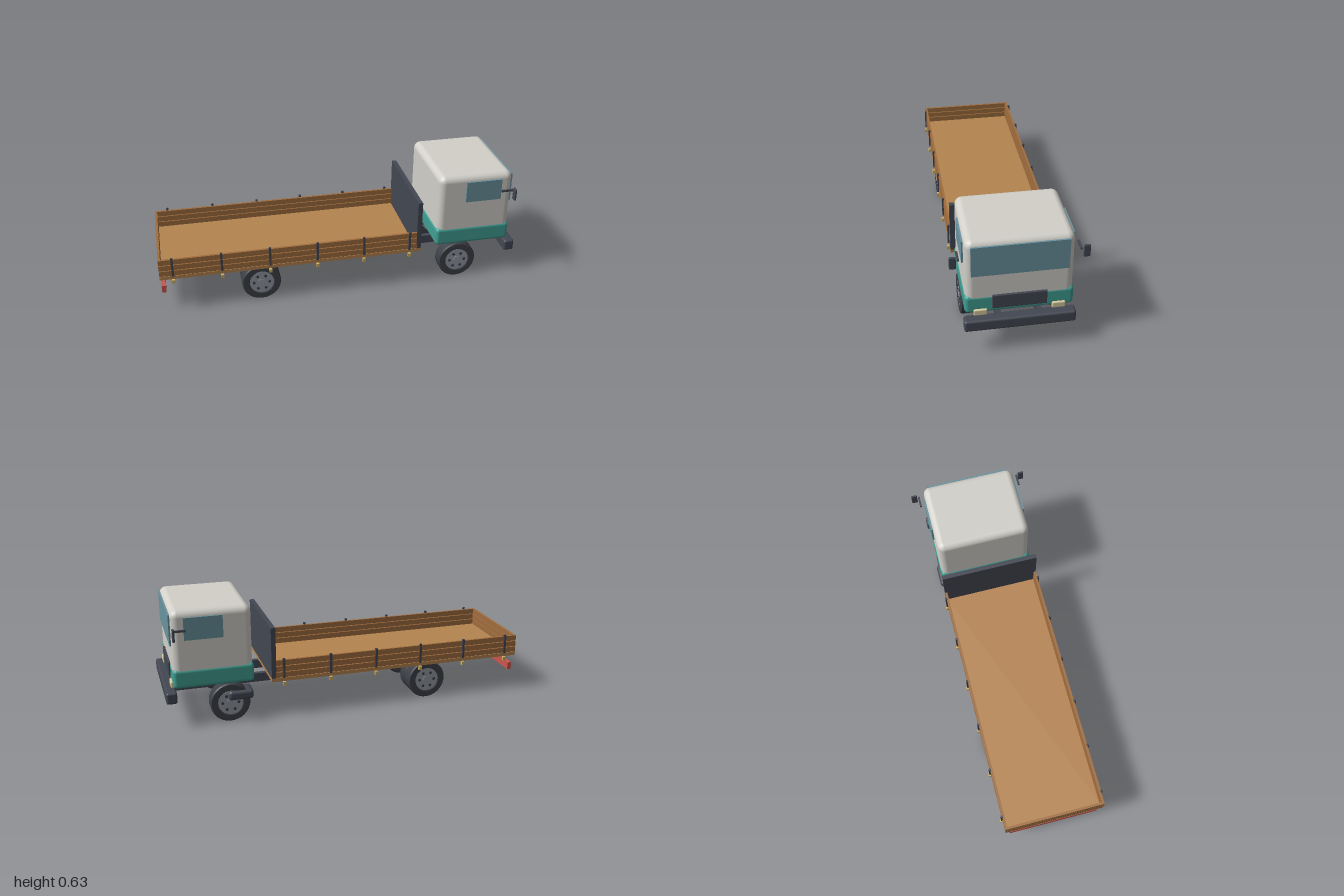
import * as THREE from 'three';
import { RoundedBoxGeometry } from 'three/addons/geometries/RoundedBoxGeometry.js';

const paint = (name, color) => {
  const m = new THREE.MeshStandardMaterial({ color });
  m.name = name;
  return m;
};

export function createModel() {
  const truck = new THREE.Group();
  truck.name = 'flatbedTruck';

  const dark = paint('darkSteel', 0x434752);
  const rubber = paint('rubber', 0x3d4048);
  const rim = paint('rimGrey', 0x929aa4);
  const floorWood = paint('floorWood', 0xb58450);
  const boardWood = paint('boardWood', 0xa06d3e);
  const cream = paint('cabOffWhite', 0xd2d0c9);
  const teal = paint('cabTeal', 0x419f93);
  const glass = paint('glass', 0x6b939f);
  const red = paint('red', 0xcc554e);
  const amber = paint('amber', 0xd0b060);

  const add = (name, geometry, material, parent = truck) => {
    const mesh = new THREE.Mesh(geometry, material);
    mesh.name = name;
    parent.add(mesh);
    return mesh;
  };
  // Box given by its min and max on each axis, optionally with rounded edges
  const box = (name, mat, [x0, x1], [y0, y1], [z0, z1], radius = 0, segments = 3) => {
    const s = [x1 - x0, y1 - y0, z1 - z0];
    const g = radius
      ? new RoundedBoxGeometry(...s, segments, radius)
      : new THREE.BoxGeometry(...s);
    g.translate((x0 + x1) / 2, (y0 + y1) / 2, (z0 + z1) / 2);
    return add(name, g, mat);
  };
  // Range along z on one side of the truck
  const side = (s, a, b) => (s > 0 ? [a, b] : [-b, -a]);

  // Chassis
  for (const s of [1, -1]) box('chassisRail', dark, [-0.905, 0.95], [0.148, 0.196], side(s, 0.088, 0.114));
  box('frontBumper', dark, [0.942, 1], [0.137, 0.201], [-0.275, 0.275], 0.012);
  box('rearBar', red, [-0.995, -0.972], [0.104, 0.146], [-0.25, 0.25]);
  box('muffler', dark, [0.54, 0.675], [0.12, 0.172], [-0.281, -0.168], 0.018);

  // Load bed: floor, spaced boards on three sides, headboard
  box('bedFloor', floorWood, [-1, 0.44], [0.2, 0.22], [-0.275, 0.275]);
  for (let i = 0; i < 3; i++) {
    const y = [0.222 + i * 0.034, 0.252 + i * 0.034];
    for (const s of [1, -1]) box('sideBoard', boardWood, [-1, 0.418], y, side(s, 0.262, 0.275));
    box('tailBoard', boardWood, [-1, -0.987], y, [-0.262, 0.262]);
  }
  box('headboard', dark, [0.416, 0.441], [0.22, 0.504], [-0.275, 0.275]);

  // Bed posts with marker lamps beneath
  for (let i = 0; i < 6; i++) {
    const x = -0.928 + i * 0.2604;
    for (const s of [1, -1]) {
      box('bedPost', dark, [x - 0.006, x + 0.006], [0.22, 0.331], side(s, 0.272, 0.283));
      box('markerLamp', amber, [x - 0.008, x + 0.008], [0.178, 0.199], side(s, 0.273, 0.288));
    }
  }

  // Cab
  box('cabBody', cream, [0.536, 0.955], [0.235, 0.635], [-0.263, 0.263], 0.038);
  box('cabLowerBand', teal, [0.531, 0.957], [0.215, 0.32], [-0.267, 0.267], 0.02);
  box('windscreen', glass, [0.953, 0.962], [0.445, 0.612], [-0.236, 0.236]);
  box('grille', dark, [0.953, 0.966], [0.243, 0.322], [-0.134, 0.134], 0.004, 1);
  for (const s of [1, -1]) {
    box('sideWindow', glass, [0.688, 0.89], [0.48, 0.6], side(s, 0.262, 0.2715));
    box('headlight', paintCream(), [0.945, 0.968], [0.209, 0.243], side(s, 0.159, 0.225), 0.006, 2);
    box('mirrorArm', dark, [0.883, 0.948], [0.535, 0.546], side(s, 0.288, 0.298));
    box('mirror', dark, [0.942, 0.954], [0.495, 0.562], side(s, 0.303, 0.336), 0.004, 1);
  }
  function paintCream() {
    return (paintCream.mat ??= paint('lampCream', 0xd6cb9f));
  }

  // Wheels: the axis of each wheel lies along z, outer face at +z
  const R = 0.107, W = 0.036;
  const tyreGeo = new THREE.LatheGeometry([
    [0.066, -W + 0.004], [0.072, -W], [R - 0.006, -W], [R, -W + 0.006],
    [R, W - 0.006], [R - 0.006, W], [0.072, W], [0.066, W - 0.004], [0.066, -W + 0.004],
  ].map(([r, y]) => new THREE.Vector2(r, y)).flatMap((p) => [p, p.clone()]), 36).rotateX(Math.PI / 2);
  const discGeo = new THREE.CylinderGeometry(0.067, 0.067, 2 * W - 0.006, 32).rotateX(Math.PI / 2);
  const hubGeo = new THREE.CylinderGeometry(0.02, 0.02, 2 * W + 0.002, 20).rotateX(Math.PI / 2);
  const holeGeo = new THREE.CylinderGeometry(0.008, 0.008, 2 * W + 0.004, 12).rotateX(Math.PI / 2);

  const addWheel = (name, x, z) => {
    const wheel = new THREE.Group();
    wheel.name = name;
    wheel.position.set(x, R, z);
    truck.add(wheel);
    add('tyre', tyreGeo, rubber, wheel);
    add('rimDisc', discGeo, rim, wheel);
    add('hub', hubGeo, rim, wheel);
    for (let i = 0; i < 6; i++) {
      const a = (i / 6) * Math.PI * 2;
      add('rimStud', holeGeo, rubber, wheel).position.set(0.043 * Math.cos(a), 0.043 * Math.sin(a), 0);
    }
  };
  for (const s of [1, -1]) {
    addWheel('frontWheel', 0.665, s * 0.228);
    addWheel('rearOuterWheel', -0.457, s * 0.228);
    addWheel('rearInnerWheel', -0.457, s * 0.154);
  }
  return truck;
}
